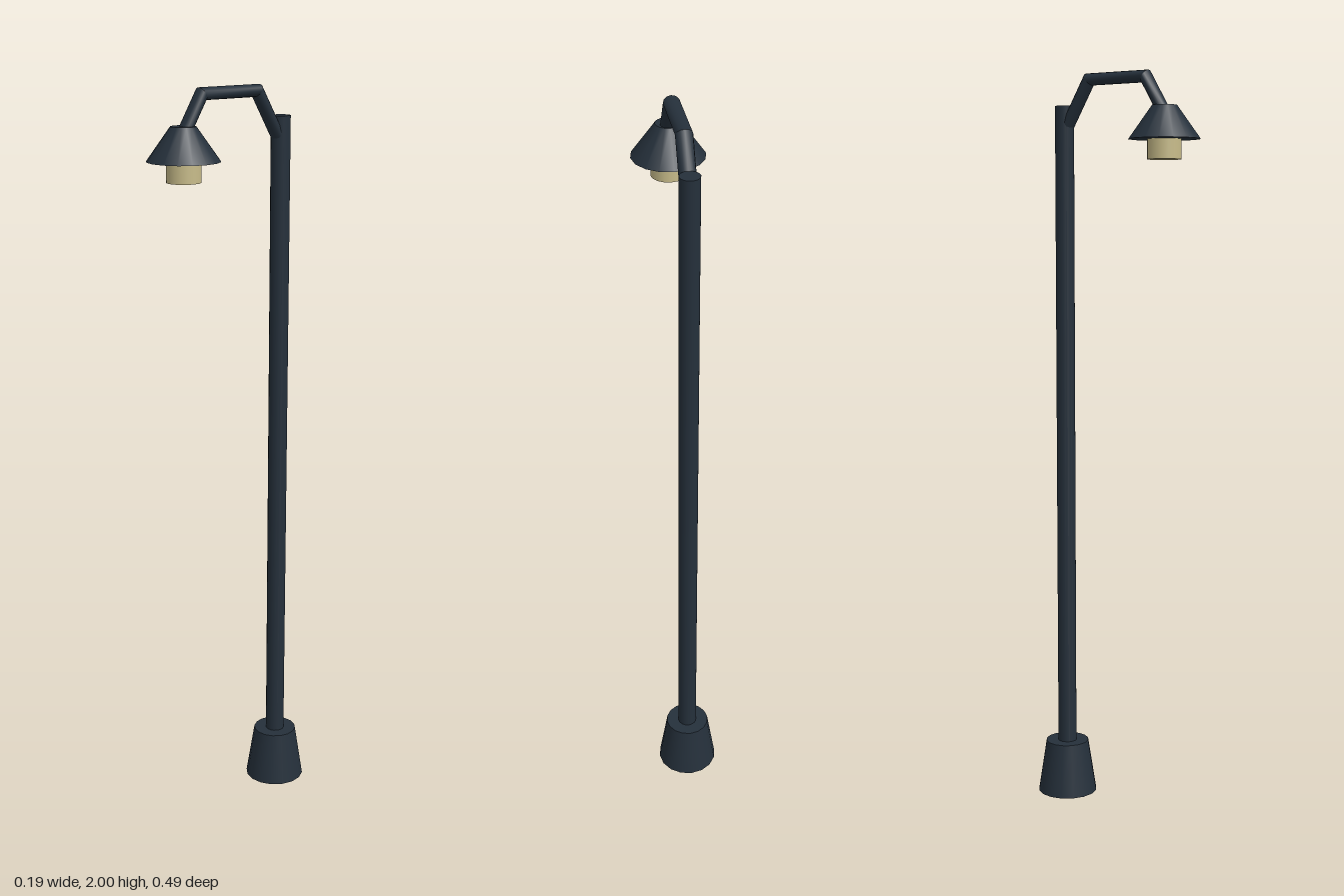
import * as THREE from 'three';

const dark = new THREE.MeshStandardMaterial({ color: 0x25303b });
const glow = new THREE.MeshStandardMaterial({ color: 0xc8bc8a });
const POLE_Z = -0.163, LAMP_Z = 0.15, SIDES = 16;

// Upright round part between two heights
function round(name, rTop, rBottom, y0, y1, z, material) {
  const geo = new THREE.CylinderGeometry(rTop, rBottom, y1 - y0, SIDES);
  const mesh = new THREE.Mesh(geo, material);
  mesh.name = name;
  mesh.position.set(0, (y0 + y1) / 2, z);
  return mesh;
}

// Oval bar swept along a [z, y] path with mitred, creased bends
function mitredBar(path, halfWidth, halfDepth, sides) {
  const pts = path.map(([z, y]) => new THREE.Vector2(z, y));
  const dirs = pts.slice(1).map((p, i) => p.clone().sub(pts[i]).normalize());
  const rings = pts.map((p, i) => {
    const a = dirs[Math.max(i - 1, 0)], b = dirs[Math.min(i, dirs.length - 1)];
    const t = a.clone().add(b).normalize();
    const stretch = halfDepth / t.dot(b);
    return Array.from({ length: sides }, (_, k) => {
      const u = (k / sides) * Math.PI * 2, s = Math.sin(u) * stretch;
      return [Math.cos(u) * halfWidth, p.y + t.x * s, p.x - t.y * s];
    });
  });
  const positions = [], index = [];
  for (let i = 0; i < rings.length - 1; i++) {
    const base = positions.length / 3;
    for (const v of [...rings[i], ...rings[i + 1]]) positions.push(...v);
    for (let k = 0; k < sides; k++) {
      const a = base + k, b = base + ((k + 1) % sides);
      index.push(a, b, a + sides, b, b + sides, a + sides);
    }
  }
  const geo = new THREE.BufferGeometry();
  geo.setAttribute('position', new THREE.Float32BufferAttribute(positions, 3));
  geo.setIndex(index);
  geo.computeVertexNormals();
  return geo;
}

export function createModel() {
  const model = new THREE.Group();
  model.name = 'streetLamp';

  // Flared foot and tall post
  model.add(round('base', 0.06, 0.083, 0, 0.147, POLE_Z, dark));
  model.add(round('pole', 0.026, 0.026, 0.1, 1.918, POLE_Z, dark));

  // Bent arm, its open ends buried in the post and the shade
  const path = [[-0.157, 1.858], [-0.083, 1.984], [0.093, 1.984], [0.15, 1.889]];
  const arm = new THREE.Mesh(mitredBar(path, 0.0214, 0.016, 12), dark);
  arm.name = 'arm';
  model.add(arm);

  // Conical shade with the light below it
  const lamp = new THREE.Group();
  lamp.name = 'lampHead';
  lamp.add(round('shade', 0.033, 0.095, 1.822, 1.908, LAMP_Z, dark));
  lamp.add(round('bulb', 0.045, 0.045, 1.77, 1.83, LAMP_Z, glow));
  model.add(lamp);

  return model;
}
